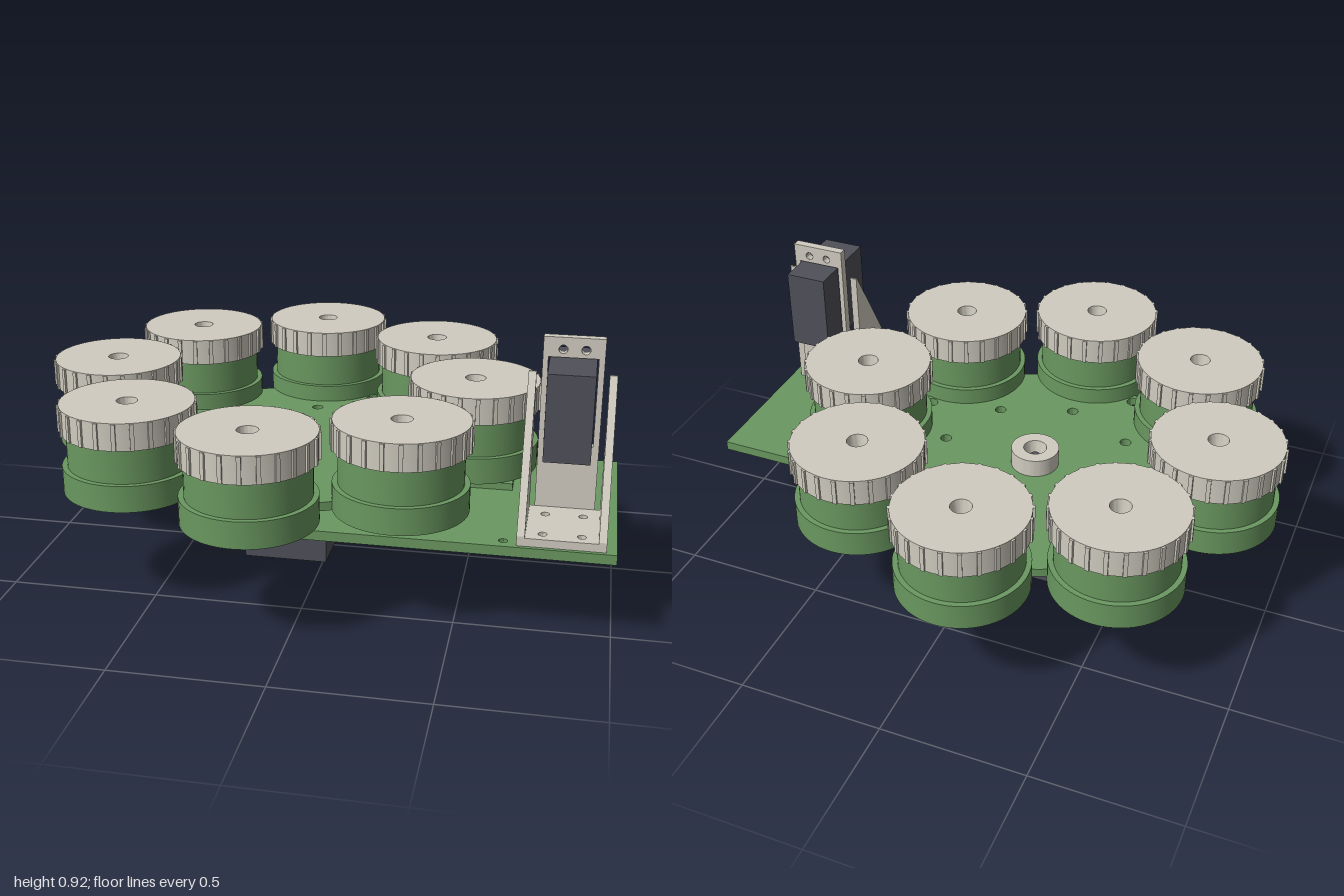
import * as THREE from 'three';
import { toCreasedNormals } from 'three/addons/utils/BufferGeometryUtils.js';

const CX = -0.134;      // carousel axis
const RING = 0.636;     // distance of the containers from the axis

export function createModel() {
  const model = new THREE.Group();
  model.name = 'rotaryDispenser';
  const mat = (name, color) => {
    const m = new THREE.MeshStandardMaterial({ color });
    m.name = name;
    return m;
  };
  const beige = mat('beige', 0xd0ccc0);
  const green = mat('green', 0x6a9860);
  const dark = mat('darkGrey', 0x50505a);

  const add = (parent, name, geometry, material) => {
    const mesh = new THREE.Mesh(geometry, material);
    mesh.name = name;
    parent.add(mesh);
    return mesh;
  };
  // box from its min and max corners
  const box = (parent, name, material, x0, x1, y0, y1, z0, z1) =>
    add(parent, name, new THREE.BoxGeometry(x1 - x0, y1 - y0, z1 - z0), material)
      .position.set((x0 + x1) / 2, (y0 + y1) / 2, (z0 + z1) / 2);
  // closed profile of [radius, y], counter-clockwise
  const lathe = (profile, segments = 64) => toCreasedNormals(
    new THREE.LatheGeometry(profile.map(([r, y]) => new THREE.Vector2(r, y)), segments), 0.5);
  const polygon = (points) => new THREE.Shape(points.map(([a, b]) => new THREE.Vector2(a, b)));
  const disc = (r) => new THREE.Shape().absarc(0, 0, r, 0, Math.PI * 2, false);
  const drill = (shape, holes) => {
    for (const [a, b, r] of holes) {
      shape.holes.push(new THREE.Path().absarc(a, b, r, 0, Math.PI * 2, true));
    }
    return shape;
  };
  const extrude = (shape, depth) => toCreasedNormals(
    new THREE.ExtrudeGeometry(shape, { depth, bevelEnabled: false, curveSegments: 32 }), 0.5);
  // flat plate drawn in x and z, between two heights
  const plate = (shape, y0, y1) => extrude(shape, y1 - y0).rotateX(Math.PI / 2).translate(0, y1, 0);
  const circleOf = (count, radius, start, holeRadius) =>
    Array.from({ length: count }, (_, i) => {
      const a = start + (i / count) * Math.PI * 2;
      return [Math.cos(a) * radius, Math.sin(a) * radius, holeRadius];
    });

  // base plate with mounting holes
  const bracketHoles = [];
  for (const x of [0.77, 0.89]) for (const z of [0.36, 0.515]) bracketHoles.push([x, z, 0.014]);
  const baseShape = drill(
    polygon([[1, -0.21], [1, 0.57], [CX, 0.57], [-0.34, 0.15], [-0.34, -0.21]]),
    [...bracketHoles, [0.65, 0.528, 0.014], [0.65, -0.18, 0.014]]);
  add(model, 'basePlate', plate(baseShape, 0.285, 0.318), green);
  box(model, 'sensorBoard', green, 0.37, 0.65, 0.318, 0.342, -0.124, 0.124);

  // drive motor and shaft
  box(model, 'motor', dark, -0.28, 0.012, 0, 0.285, -0.146, 0.146);
  add(model, 'motorShaft', new THREE.CylinderGeometry(0.016, 0.016, 0.15, 24), dark)
    .position.set(CX, 0.36, 0);

  // rotating carousel
  const carousel = new THREE.Group();
  carousel.name = 'carousel';
  carousel.position.x = CX;
  model.add(carousel);
  const bolts = circleOf(8, 0.348, 0.045, 0.02);
  add(carousel, 'supportDisc', plate(drill(disc(0.488), bolts), 0.34, 0.37), beige);
  const slots = circleOf(4, 0.533, Math.PI / 8, 0.024);
  add(carousel, 'carouselPlate', plate(drill(disc(0.57), [...bolts, ...slots]), 0.37, 0.4), green);
  add(carousel, 'hub', lathe([
    [0.03, 0.4], [0.083, 0.4], [0.083, 0.465], [0.04, 0.465], [0.03, 0.4]]), beige);

  // containers with ribbed lids
  const socket = lathe([
    [0.045, 0.37], [0.22, 0.37], [0.22, 0.46], [0.202, 0.46], [0.202, 0.4], [0.045, 0.4], [0.045, 0.37]]);
  const cup = lathe([
    [0.045, 0.395], [0.202, 0.395], [0.202, 0.581], [0.18, 0.581], [0.18, 0.415], [0.045, 0.415], [0.045, 0.395]]);
  const lid = lathe([
    [0.013, 0.578], [0.22, 0.578], [0.22, 0.67], [0.035, 0.67], [0.026, 0.6], [0.013, 0.6], [0.013, 0.578]]);
  const rib = new THREE.BoxGeometry(0.014, 0.088, 0.014);
  for (let i = 0; i < 8; i++) {
    const a = (i / 8) * Math.PI * 2;
    const container = new THREE.Group();
    container.name = 'container' + (i + 1);
    container.position.set(Math.cos(a) * RING, 0, Math.sin(a) * RING);
    container.rotation.y = -a;
    carousel.add(container);
    add(container, 'socket', socket, green);
    add(container, 'cup', cup, green);
    add(container, 'lid', lid, beige);
    for (let k = 0; k < 24; k++) {
      const b = ((k + 0.5) / 24) * Math.PI * 2;
      const mesh = add(container, 'lidRib', rib, beige);
      mesh.position.set(Math.cos(b) * 0.2195, 0.624, Math.sin(b) * 0.2195);
      mesh.rotation.y = -b;
    }
  }

  // servo bracket: foot, slotted back plate and two gussets
  const bracket = new THREE.Group();
  bracket.name = 'servoBracket';
  model.add(bracket);
  const foot = drill(polygon([[0.693, 0.27], [0.967, 0.27], [0.967, 0.557], [0.693, 0.557]]), bracketHoles);
  // the foot narrows to the back plate behind the gussets
  foot.curves = polygon([[0.693, 0.295], [0.733, 0.295], [0.733, 0.27], [0.925, 0.27], [0.925, 0.295],
    [0.967, 0.295], [0.967, 0.557], [0.693, 0.557], [0.693, 0.295]]).curves;
  add(bracket, 'bracketFoot', plate(foot, 0.318, 0.345), beige);
  const back = drill(polygon([[0.733, 0.345], [0.925, 0.345], [0.925, 0.917], [0.733, 0.917]]),
    [[0.795, 0.878, 0.014], [0.865, 0.878, 0.014], [0.795, 0.533, 0.014], [0.865, 0.533, 0.014]]);
  back.holes.push(new THREE.Path([[0.75, 0.56], [0.75, 0.852], [0.906, 0.852], [0.906, 0.56]]
    .map(([x, y]) => new THREE.Vector2(x, y))));
  add(bracket, 'bracketBack', extrude(back, 0.03).translate(0, 0, 0.267), beige);
  const gusset = polygon([[0.27, 0.318], [0.557, 0.318], [0.557, 0.35], [0.302, 0.803], [0.295, 0.803], [0.295, 0.318]]
    .filter(([z]) => z > 0.28));
  for (const x of [0.717, 0.967]) {
    add(bracket, 'gusset', extrude(gusset, 0.025).rotateY(-Math.PI / 2).translate(x, 0, 0), beige);
  }
  box(model, 'servo', dark, 0.755, 0.901, 0.562, 0.847, 0.163, 0.46);

  return model;
}
